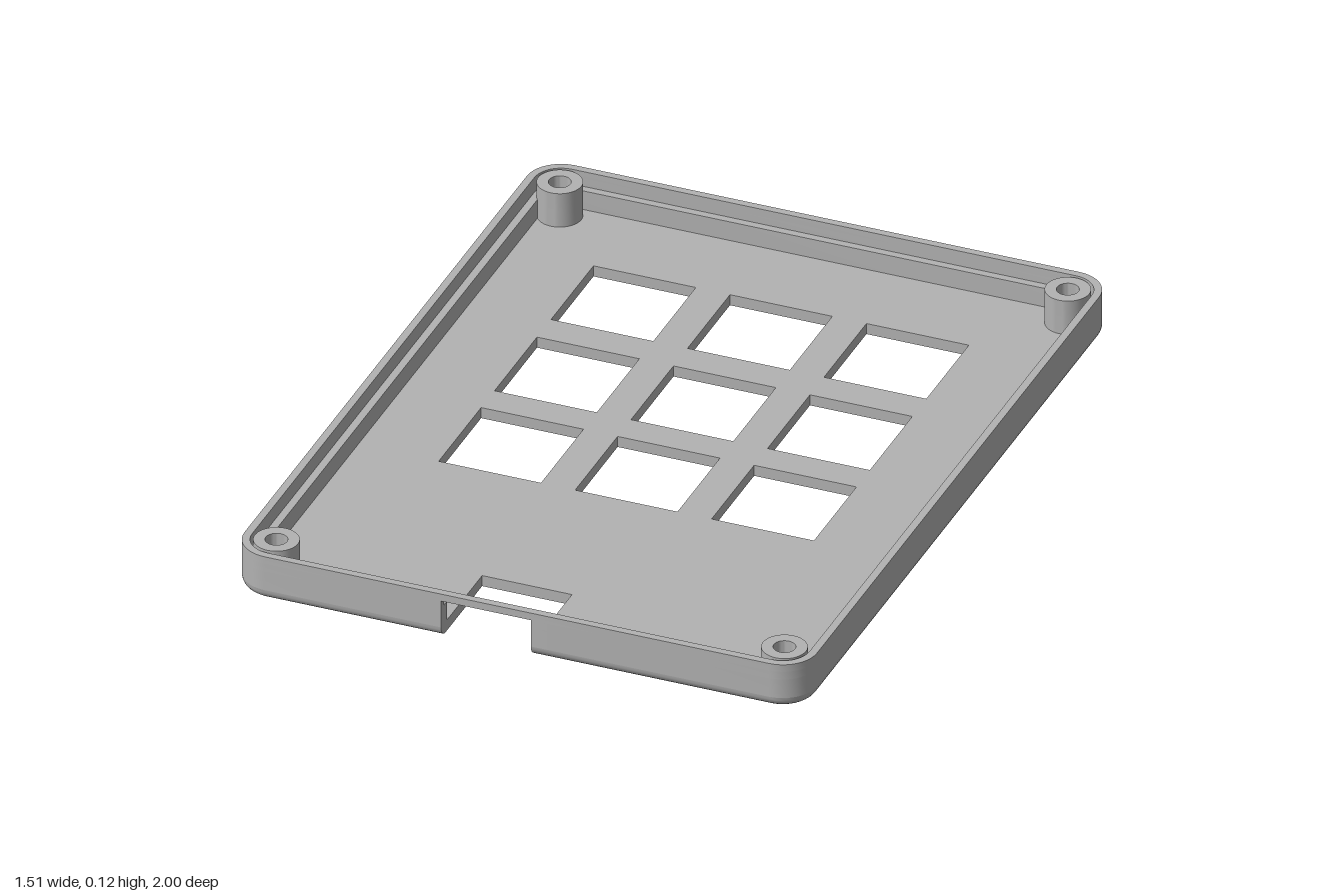
import * as THREE from 'three';
import { toCreasedNormals } from 'three/addons/utils/BufferGeometryUtils.js';

const W = 0.755, D = 1, R = 0.09;           // outer half width, half depth, corner radius
const FLOOR = 0.03, LEDGE = 0.083, PORT = 0.105, TOP = 0.125;
const N0 = -0.2, N1 = 0.037, NZ = 0.735;    // port cut-out: x range and inner z

// Rounded rectangle, counter-clockwise from the front; shape y is -z
function corners(inset) {
  const r = R - inset, cx = W - R, cy = D - R, pts = [];
  [[1, -1], [1, 1], [-1, 1], [-1, -1]].forEach(([sx, sy], k) => {
    for (let i = 0; i <= 10; i++) {
      const a = (k - 1 + i / 10) * Math.PI / 2;
      pts.push(new THREE.Vector2(sx * cx + r * Math.cos(a), sy * cy + r * Math.sin(a)));
    }
  });
  return pts;
}

const v = (x, y) => new THREE.Vector2(x, y);

// Extrude a shape upward from y0 to y1
function slab(shape, y0, y1, steps = 1) {
  const g = new THREE.ExtrudeGeometry(shape, { depth: y1 - y0, steps, bevelEnabled: false, curveSegments: 20 });
  g.rotateX(-Math.PI / 2);
  g.translate(0, y0, 0);
  return g;
}

// Wall band with a gap for the port
function gappedWall(inset) {
  const d = -(D - inset);
  return new THREE.Shape([
    v(N1, -D), ...corners(0), v(N0, -D),
    v(N0, d), ...corners(inset).reverse(), v(N1, d),
  ]);
}

// Floor plate with nine key windows and a rounded lower edge
function floorGeometry() {
  const shape = new THREE.Shape([v(N1, -D), ...corners(0), v(N0, -D), v(N0, -NZ), v(N1, -NZ)]);
  for (const x of [-0.368, -0.008, 0.352]) {
    for (const z of [-0.586, -0.222, 0.138]) {
      const h = 0.135, k = 0.137;
      shape.holes.push(new THREE.Path([v(x - h, -z - k), v(x - h, -z + k), v(x + h, -z + k), v(x + h, -z - k)]));
    }
  }
  const g = slab(shape, 0, FLOOR, 6);
  const p = g.attributes.position;
  for (let i = 0; i < p.count; i++) {
    const x = p.getX(i), z = p.getZ(i), a = p.getY(i) / FLOOR * Math.PI / 2;
    const cx = THREE.MathUtils.clamp(x, R - W, W - R), cz = THREE.MathUtils.clamp(z, R - D, D - R);
    const dist = Math.hypot(x - cx, z - cz);
    const s = dist > R - 0.001 ? 1 - FLOOR * (1 - Math.sin(a)) / dist : 1;
    p.setXYZ(i, cx + (x - cx) * s, FLOOR * (1 - Math.cos(a)), cz + (z - cz) * s);
  }
  return g;
}

export function createModel() {
  const group = new THREE.Group();
  group.name = 'keypadCase';
  const grey = new THREE.MeshStandardMaterial({ color: 0xb2b2b2 });
  grey.name = 'grey';

  function add(name, geometry) {
    const mesh = new THREE.Mesh(toCreasedNormals(geometry, 0.6), grey);
    mesh.name = name;
    group.add(mesh);
    return mesh;
  }

  add('floorPlate', floorGeometry());

  // Thick lower wall forming the ledge, then the thin lip above it
  add('lowerWall', slab(gappedWall(0.04), FLOOR, LEDGE));
  add('upperWall', slab(gappedWall(0.02), LEDGE, PORT));

  // Closed rim bridging the port
  const rim = new THREE.Shape(corners(0));
  rim.holes.push(new THREE.Path(corners(0.02).reverse()));
  add('rim', slab(rim, PORT, TOP));

  // Hollow screw posts in the corners
  const ring = new THREE.Shape().absarc(0, 0, 0.057, 0, Math.PI * 2, false);
  ring.holes.push(new THREE.Path().absarc(0, 0, 0.028, 0, Math.PI * 2, true));
  for (const x of [-0.67, 0.67]) {
    for (const z of [-0.914, 0.912]) {
      add('screwPost', slab(ring, FLOOR, TOP)).position.set(x, 0, z);
    }
  }
  return group;
}
